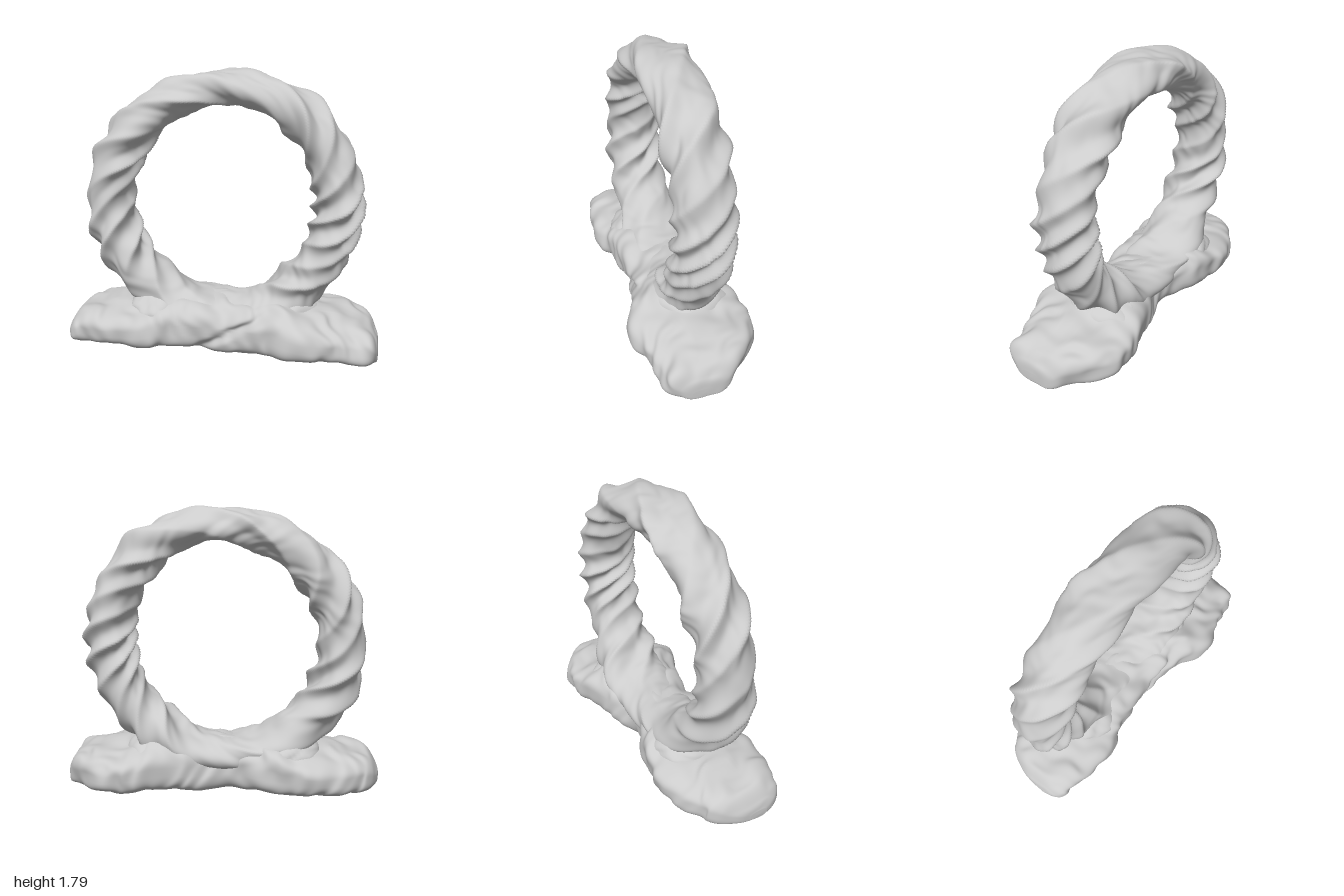
import * as THREE from 'three';

const material = new THREE.MeshStandardMaterial({ color: 0xcccccc, roughness: 0.9 });

// Smooth, repeatable lumps made from a few crossed waves
function lumps(x, y, z) {
  return (
    Math.sin(7 * x + 4 * z + 1.3) * Math.cos(9 * y - 3 * x) +
    0.7 * Math.sin(13 * z - 8 * x + 5 * y) +
    0.5 * Math.cos(19 * x + 11 * y - 9 * z + 0.6)
  ) / 2.2;
}

// Lumps with a finer layer of folds on top
function rough(x, y, z) {
  const bend = 0.12 * lumps(z, x, y);
  return lumps(x, y, z) + 0.6 * lumps(2.1 * x + bend, 1.7 * y, 2.1 * z - bend);
}

// Grid of points wrapped in v, and in u as well when closed
function loft(name, nu, nv, closed, point) {
  const positions = [];
  const index = [];
  const rows = closed ? nu : nu + 1;
  for (let i = 0; i < rows; i++) {
    for (let j = 0; j < nv; j++) {
      positions.push(...point(i / nu, (j / nv) * Math.PI * 2));
    }
  }
  for (let i = 0; i < nu; i++) {
    for (let j = 0; j < nv; j++) {
      const a = i * nv + j;
      const b = ((i + 1) % rows) * nv + j;
      const c = ((i + 1) % rows) * nv + ((j + 1) % nv);
      const d = i * nv + ((j + 1) % nv);
      index.push(a, b, c, a, c, d);
    }
  }
  const geometry = new THREE.BufferGeometry();
  geometry.setAttribute('position', new THREE.Float32BufferAttribute(positions, 3));
  geometry.setIndex(index);
  geometry.computeVertexNormals();
  const mesh = new THREE.Mesh(geometry, material);
  mesh.name = name;
  return mesh;
}

// Upright ring with twisted strands that run nearly lengthwise at the crown
function createRing() {
  return loft('twistedRing', 360, 88, true, (u, phi) => {
    const theta = u * Math.PI * 2;
    const up = Math.sin(theta);
    const crown = Math.max(0, up) ** 3;
    const foot = THREE.MathUtils.smoothstep(-up, 0.6, 0.85);
    const buried = THREE.MathUtils.smoothstep(-up, 0.75, 0.97);

    const twist = 16 * theta + 4.5 * Math.sin(2 * theta) + 3 * up + 0.5 * Math.sin(3 * theta + 1);
    const phase = 4 * phi + twist + 0.6 * Math.sin(2 * phi + 5 * theta);
    const strand = 0.6 - Math.abs(Math.sin(phase / 2)) ** 1.1;
    const strength = 0.04 * (1 - 0.4 * crown) * (1 - 0.6 * buried)
      * (1 + 0.45 * Math.sin(7 * theta + 2));

    // Flattened across the crown, thinner where it sinks into the base
    const c = Math.cos(phi);
    const s = Math.sin(phi);
    const wide = 0.142 - 0.038 * crown - 0.035 * buried;
    const deep = 0.17 + 0.008 * crown + (s < 0 ? 0.05 : 0.02) * foot;
    const bump = strand * strength
      + 0.012 * rough(Math.cos(theta) + 0.2 * c, up, 0.3 * s);
    const r = 0.717 + 0.02 * Math.sin(2 * theta) * (0.5 + 0.5 * up) + c * (wide + bump);
    return [
      -0.01 + r * Math.cos(theta),
      0.967 + r * up,
      -0.02 + s * (deep + bump),
    ];
  });
}

// Base stations along x: back z, front z, bottom y, top y
const stations = [
  [-0.995, 0.04, 0.14, 0.05, 0.1],
  [-0.97, -0.08, 0.22, 0.04, 0.17],
  [-0.9, -0.2, 0.27, 0.03, 0.25],
  [-0.72, -0.31, 0.3, 0.03, 0.28],
  [-0.5, -0.35, 0.33, 0.03, 0.31],
  [-0.3, -0.32, 0.26, 0.03, 0.35],
  [-0.05, -0.21, 0.25, 0.02, 0.35],
  [0.1, -0.22, 0.25, 0.01, 0.34],
  [0.3, -0.3, 0.29, 0.03, 0.36],
  [0.45, -0.35, 0.36, 0.03, 0.36],
  [0.62, -0.38, 0.34, 0.03, 0.31],
  [0.8, -0.33, 0.3, 0.03, 0.27],
  [0.94, -0.17, 0.25, 0.02, 0.24],
  [0.985, -0.08, 0.19, 0.02, 0.16],
  [1.0, 0.0, 0.12, 0.03, 0.08],
];

// Long lumpy foot with two lobes and a narrow waist
function createBase() {
  const plan = new THREE.CatmullRomCurve3(
    stations.map(([x, back, front]) => new THREE.Vector3(x, back, front)), false, 'catmullrom');
  const side = new THREE.CatmullRomCurve3(
    stations.map(([x, , , low, high]) => new THREE.Vector3(x, low, high)), false, 'catmullrom');
  const box = (v) => Math.sign(v) * Math.abs(v) ** 0.62;
  return loft('rockBase', 220, 112, false, (u, a) => {
    // The first and last rows collapse to close the ends
    const size = u === 0 || u === 1 ? 0 : 1;
    const p = plan.getPoint(u);
    const h = side.getPoint(u);
    const c = Math.cos(a);
    const s = Math.sin(a);
    let z = (p.y + p.z) / 2 + size * box(c) * (p.z - p.y) / 2;
    let y = (h.y + h.z) / 2 + size * box(s) * (h.z - h.y) / 2;

    // Rough sides and top, a nearly flat underside
    const taper = size * Math.min(1, 12 * Math.min(u, 1 - u));
    const n = rough(1.3 * p.x, 1.3 * y, 1.3 * z) * taper;
    z += 0.026 * n * c;
    y += (s > 0 ? 0.024 : 0.007) * n * s;

    // Diagonal crease across the front, and lower outer rims
    const fold = Math.exp(-(((p.x - 0.1 - 1.5 * (y - 0.2)) / 0.05) ** 2));
    z -= 0.03 * fold * Math.max(0, c) * taper;
    if (s > 0) y -= 0.03 * c * c * s * taper;
    return [p.x + 0.012 * n, y, z];
  });
}

// Soft mound of material gathered around one foot of the ring
function createMound(name, sign) {
  return loft(name, 48, 56, false, (u, a) => {
    const t = u * Math.PI;
    const r = Math.sin(t);
    const c = r * Math.cos(a);
    const s = r * Math.sin(a);
    const n = 1 + 0.08 * r * rough(0.4 * c + sign, 0.4 * Math.cos(t), 0.4 * s);
    return [
      sign * 0.4 + 0.22 * c * n,
      0.26 + 0.14 * Math.cos(t) * n,
      -0.03 - 0.26 * s * n,
    ];
  });
}

export function createModel() {
  const group = new THREE.Group();
  group.name = 'twistedRingOnBase';
  group.add(
    createRing(),
    createBase(),
    createMound('leftFootMound', 1),
    createMound('rightFootMound', -1),
  );
  return group;
}
